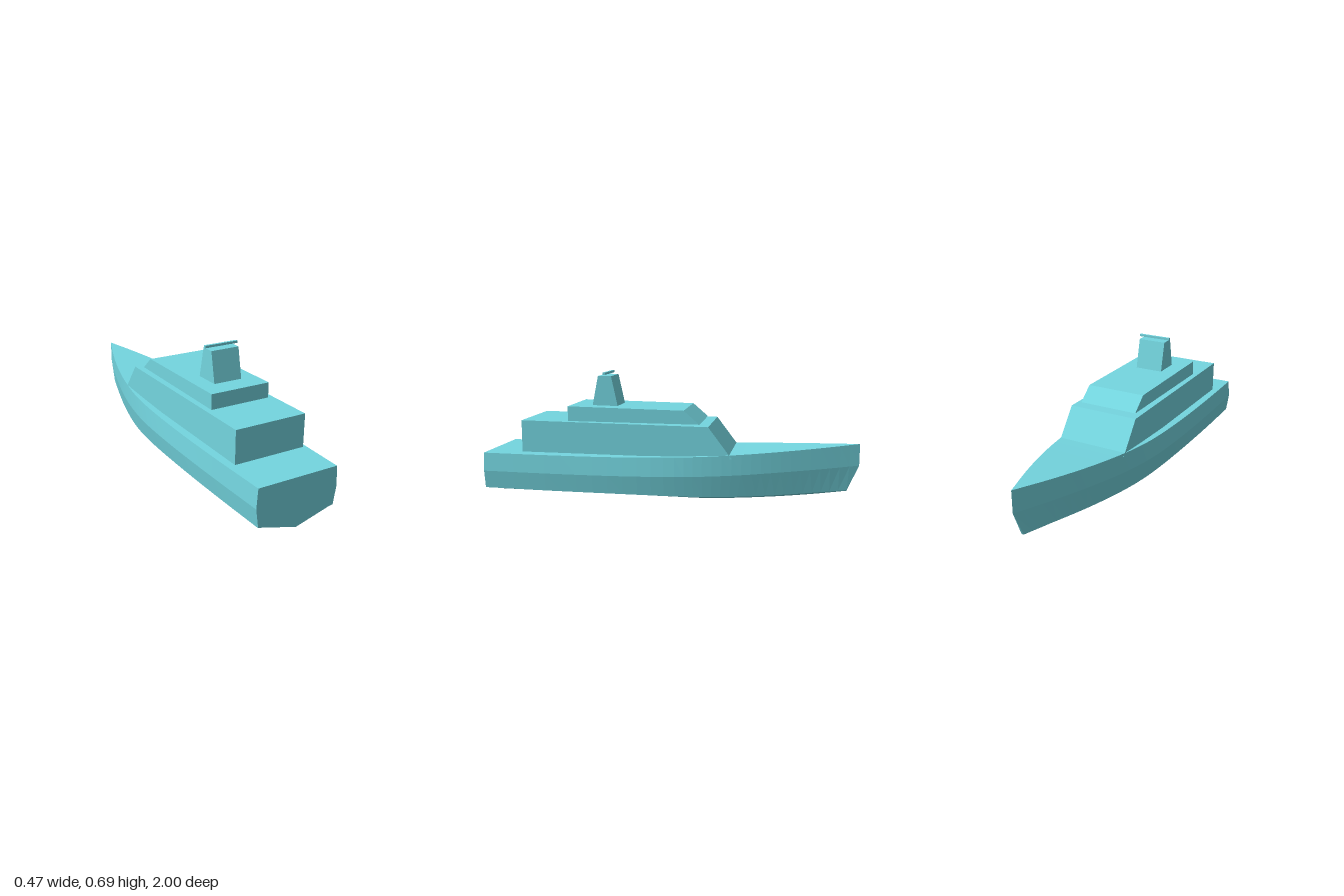
import * as THREE from 'three';

const V = (x, y, z) => new THREE.Vector3(x, y, z);

// Lengthwise hull lines, stern to bow, as [half width, height, z]
const DECK = [[0.215, 0.252, 1], [0.225, 0.253, 0.65], [0.229, 0.256, 0.3], [0.227, 0.265, 0], [0.213, 0.273, -0.2], [0.181, 0.285, -0.4], [0.134, 0.299, -0.6], [0.073, 0.314, -0.8], [0, 0.33, -1]];
const KNUCKLE = [[0.222, 0.153, 1], [0.232, 0.154, 0.65], [0.237, 0.157, 0.3], [0.233, 0.163, 0], [0.215, 0.169, -0.2], [0.18, 0.178, -0.4], [0.13, 0.19, -0.6], [0.07, 0.202, -0.8], [0, 0.215, -1]];
const CHINE = [[0.208, 0.057, 1], [0.217, 0.057, 0.65], [0.22, 0.058, 0.3], [0.212, 0.057, 0], [0.193, 0.056, -0.2], [0.16, 0.058, -0.38], [0.115, 0.064, -0.57], [0.062, 0.073, -0.76], [0.008, 0.083, -0.94]];
const KEEL = [[0, 0, 1], [0, 0, 0.65], [0, 0, 0.3], [0, 0, 0], [0, 0.001, -0.2], [0, 0.012, -0.38], [0, 0.029, -0.57], [0, 0.051, -0.76], [0, 0.077, -0.94]];

function hullGeometry(stations) {
  const curves = [DECK, KNUCKLE, CHINE, KEEL].map(
    (line) => new THREE.CatmullRomCurve3(line.map((p) => V(...p)), false, 'catmullrom', 0.5));

  // Each ring runs from the +x deck edge under the keel to the -x deck edge
  const rings = [];
  for (let i = 0; i <= stations; i++) {
    const [deck, knuckle, chine, keel] = curves.map((c) => c.getPoint(i / stations));
    const lip = V(chine.x * 0.89, chine.y - 0.004, chine.z);
    const half = [deck, knuckle, chine, lip];
    const mirrored = half.map((p) => V(-p.x, p.y, p.z)).reverse();
    rings.push([...half, keel, ...mirrored]);
  }

  const pos = [];
  const tri = (...pts) => pts.forEach((p) => pos.push(p.x, p.y, p.z));
  const n = rings[0].length;

  // Sides and bottom, with the last strip of each ring closing the deck
  for (let i = 0; i < stations; i++) {
    const a = rings[i], b = rings[i + 1];
    for (let j = 0; j < n; j++) {
      const k = (j + 1) % n;
      tri(a[j], b[k], b[j]);
      tri(a[j], a[k], b[k]);
    }
  }

  // Transom
  const stern = rings[0], bow = rings[stations];
  const middle = V(0, 0.15, 1);
  for (let j = 0; j < n; j++) tri(middle, stern[(j + 1) % n], stern[j]);

  // Narrow stem face
  for (let j = 2; j < n - 3; j++) tri(bow[1], bow[j], bow[j + 1]);

  const geo = new THREE.BufferGeometry();
  geo.setAttribute('position', new THREE.Float32BufferAttribute(pos, 3));
  geo.computeVertexNormals();
  return geo;
}

// Side profile of [z, y] corners, extruded across the beam
function profileGeometry(points, halfWidth) {
  const shape = new THREE.Shape(points.map(([z, y]) => new THREE.Vector2(-z, y)));
  const geo = new THREE.ExtrudeGeometry(shape, { depth: halfWidth * 2, bevelEnabled: false });
  geo.translate(0, 0, -halfWidth);
  geo.rotateY(Math.PI / 2);
  return geo;
}

export function createModel() {
  const group = new THREE.Group();
  const teal = new THREE.MeshStandardMaterial({ color: 0x74d6e0, flatShading: true });
  teal.name = 'teal';

  const add = (name, geometry) => {
    const mesh = new THREE.Mesh(geometry, teal);
    mesh.name = name;
    group.add(mesh);
    return mesh;
  };

  add('hull', hullGeometry(32));

  // Superstructure tiers with raked fronts
  add('mainCabin', profileGeometry([[0.785, 0.262], [0.785, 0.433], [-0.228, 0.425], [-0.352, 0.262]], 0.192));
  add('upperCabin', profileGeometry([[0.533, 0.432], [0.533, 0.511], [-0.095, 0.503], [-0.178, 0.432]], 0.163));

  // Tapered mast and radar bar floating above it
  add('mast', profileGeometry([[0.42, 0.508], [0.388, 0.668], [0.315, 0.668], [0.28, 0.508]], 0.078));
  add('radarBar', new THREE.BoxGeometry(0.184, 0.012, 0.014)).position.set(0, 0.682, 0.35);

  return group;
}
